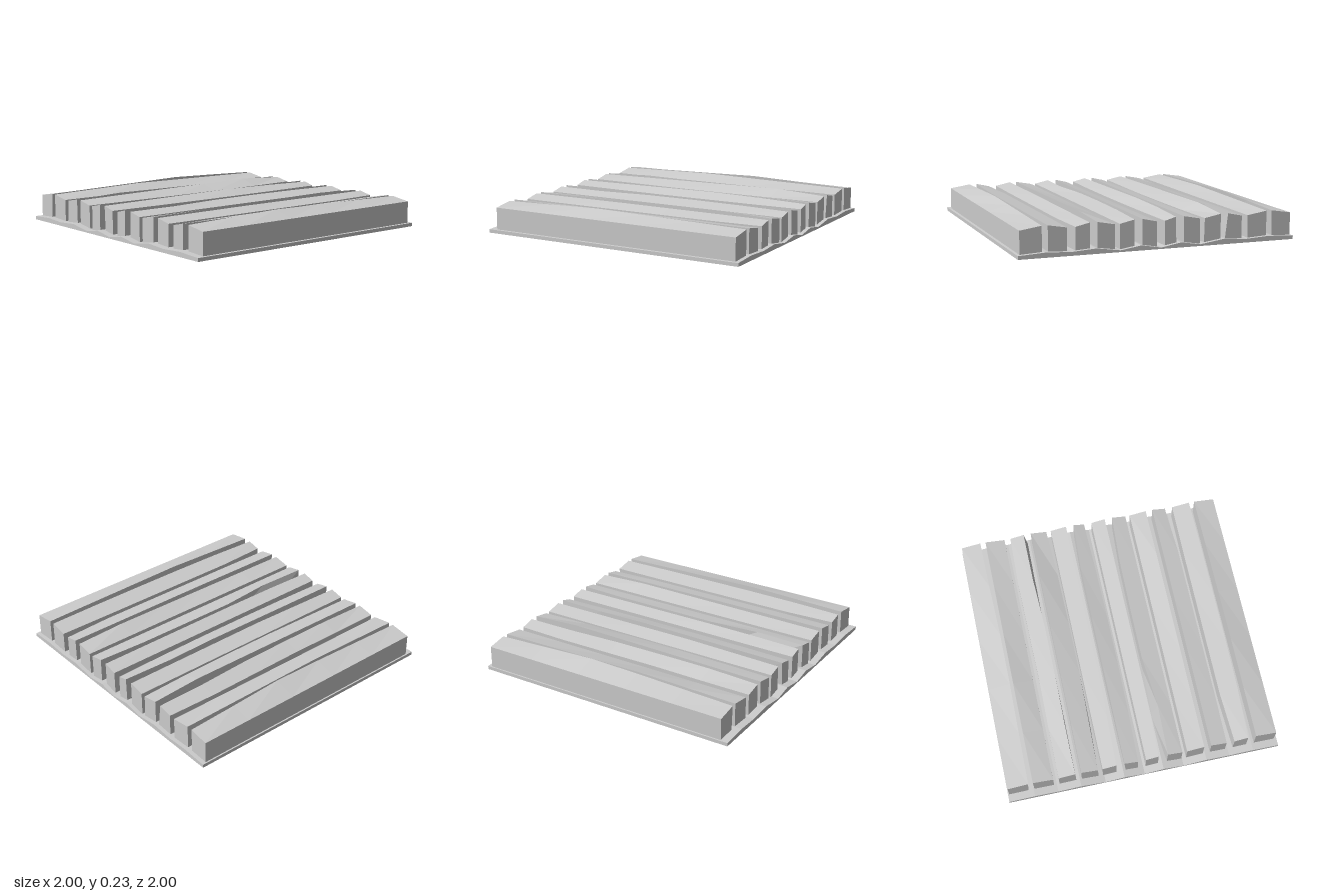
import * as THREE from 'three';

const material = new THREE.MeshStandardMaterial({ color: 0xcccccc, flatShading: true });

// Stations along each plank, front to back
const STATIONS = [0.945, 0.57, 0.19, -0.2, -0.6, -0.97];
const LOW = 0.185;
const HIGH = 0.208;

// l, r: top edges (one value, or one per station); bl, br: bottom edges if they differ
// peak, at: tallest height of the raised edge and the station where it occurs
const PLANKS = [
  { l: -0.99, r: [-0.84, -0.835, -0.83, -0.83, -0.84, -0.845], br: -0.85, peak: 0.235, at: 3 },
  { l: -0.805, r: -0.66, peak: 0.225, at: 2 },
  { l: [-0.62, -0.62, -0.615, -0.62, -0.625, -0.615], r: [-0.5, -0.5, -0.495, -0.495, -0.51, -0.51],
    br: [-0.495, -0.492, -0.495, -0.495, -0.49, -0.485], peak: 0.222, at: 1 },
  { l: -0.455, r: [-0.335, -0.325, -0.315, -0.315, -0.32, -0.335],
    br: [-0.33, -0.315, -0.315, -0.315, -0.318, -0.33], peak: 0.229, at: 4 },
  { l: -0.3, r: [-0.2, -0.19, -0.18, -0.18, -0.18, -0.18], peak: 0.211, at: 2 },
  { l: [-0.14, -0.14, -0.14, -0.14, -0.14, -0.12], r: [-0.04, -0.03, -0.025, -0.025, -0.03, -0.04],
    bl: [-0.13, -0.135, -0.14, -0.14, -0.14, -0.125], peak: 0.22, at: 3 },
  { l: 0.018, r: [0.11, 0.12, 0.122, 0.122, 0.122, 0.122], peak: 0.211, at: 2 },
  { l: [0.178, 0.188, 0.155, 0.155, 0.16, 0.18], r: 0.285,
    bl: [0.175, 0.138, 0.155, 0.155, 0.16, 0.18], peak: 0.212, at: 3 },
  { l: 0.32, r: 0.445, peak: 0.222, at: 4 },
  { l: 0.497, r: [0.612, 0.615, 0.615, 0.615, 0.615, 0.597], peak: 0.211, at: 2 },
  { l: [0.67, 0.652, 0.652, 0.652, 0.652, 0.655], r: [0.77, 0.785, 0.79, 0.79, 0.79, 0.787], peak: 0.211, at: 3 },
  { l: 0.828, r: 0.98, peak: 0.229, at: 2 },
];

const pick = (value, i) => (Array.isArray(value) ? value[i] : value);

// Join four-cornered cross-sections, listed front to back, into a closed bar
function loft(sections) {
  const positions = [];
  const quad = (a, b, c, d) => positions.push(...a, ...b, ...c, ...a, ...c, ...d);
  for (let i = 0; i < sections.length - 1; i++) {
    for (let k = 0; k < 4; k++) {
      const n = (k + 1) % 4;
      quad(sections[i][k], sections[i + 1][k], sections[i + 1][n], sections[i][n]);
    }
  }
  const [a, b, c, d] = sections[0];
  quad(a, b, c, d);
  const [e, f, g, h] = sections[sections.length - 1];
  quad(h, g, f, e);
  const geometry = new THREE.BufferGeometry();
  geometry.setAttribute('position', new THREE.Float32BufferAttribute(positions, 3));
  geometry.computeVertexNormals();
  return geometry;
}

function plankGeometry(plank, index) {
  const { l, r, bl = l, br = r, peak, at } = plank;
  const last = STATIONS.length - 1;
  return loft(STATIONS.map((z, i) => {
    // Raised edge climbs from both ends to its peak
    const t = i <= at ? i / at : (last - i) / (last - at);
    const raised = HIGH + (peak - HIGH) * t;
    // Neighbouring planks slope in opposite directions
    const [yl, yr] = index % 2 ? [raised, LOW] : [LOW, raised];
    return [
      [pick(bl, i), 0.006, z],
      [pick(br, i), 0.006, z],
      [pick(r, i), yr, z],
      [pick(l, i), yl, z],
    ];
  }));
}

export function createModel() {
  const model = new THREE.Group();
  const add = (name, geometry) => {
    const mesh = new THREE.Mesh(geometry, material);
    mesh.name = name;
    model.add(mesh);
  };

  // Thin base slab with a rippled top
  const ripple = [
    [-1, 0.025], [-0.81, 0.035], [-0.64, 0.026], [-0.47, 0.038], [-0.29, 0.012],
    [-0.15, 0.035], [0, 0.01], [0.14, 0.035], [0.29, 0.012], [0.46, 0.037],
    [0.63, 0.026], [0.81, 0.035], [1, 0.025],
  ];
  const outline = new THREE.Shape();
  outline.moveTo(-1, 0);
  outline.lineTo(1, 0);
  [...ripple].reverse().forEach(([x, y]) => outline.lineTo(x, y));
  const base = new THREE.ExtrudeGeometry(outline, { depth: 2, bevelEnabled: false });
  base.translate(0, 0, -1);
  add('base', base);

  // Row of uneven sloped planks
  PLANKS.forEach((plank, i) => add(`plank${i + 1}`, plankGeometry(plank, i)));

  return model;
}
